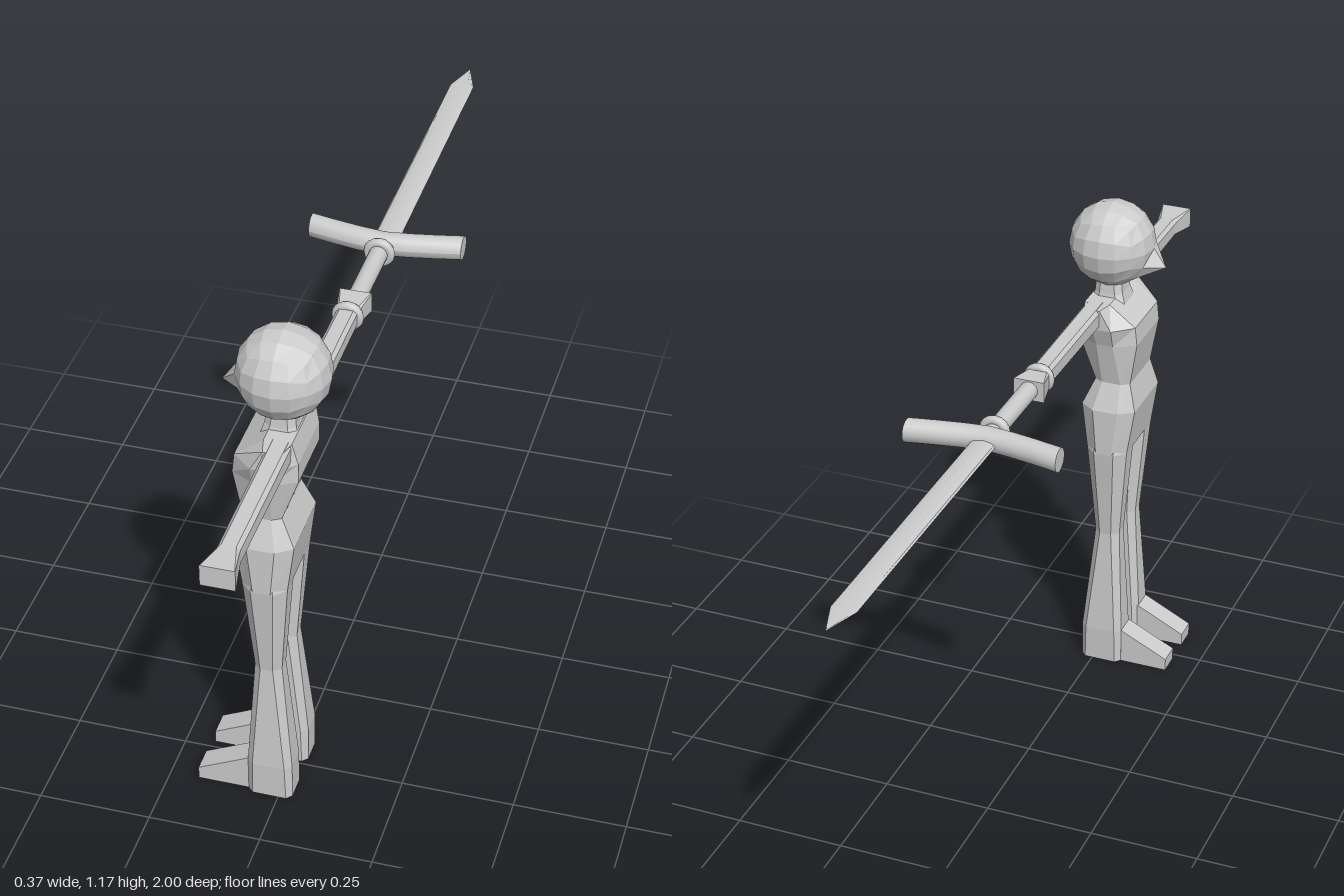
import * as THREE from 'three';

const grey = new THREE.MeshStandardMaterial({ color: 0xcccccc, flatShading: true });
grey.name = 'light grey';
// same flat colour, with smooth normals for the turned sword parts
const smoothGrey = new THREE.MeshStandardMaterial({ color: 0xcccccc });
smoothGrey.name = 'light grey smooth';

const MID = 0.515; // centre of the body along z
const AX = 0.0125, AY = 0.93; // line of the arms and the sword

// Rectangle with cut corners, counter-clockwise in (u, v)
function ring(t, u0, u1, v0, v1, cu, cv) {
  return { t, p: [
    [u0 + cu, v0], [u1 - cu, v0], [u1, v0 + cv], [u1, v1 - cv],
    [u1 - cu, v1], [u0 + cu, v1], [u0, v1 - cv], [u0, v0 + cv]] };
}

// Capped skin over rings stacked along y (u = z, v = x) or z (u = x, v = y)
function loft(rings, axis) {
  const pos = [];
  const put = (r, i) => {
    const [u, v] = r.p[i % r.p.length];
    pos.push(...(axis === 'y' ? [v, r.t, u] : [u, v, r.t]));
  };
  const n = rings[0].p.length;
  for (let k = 0; k + 1 < rings.length; k++) {
    const a = rings[k], b = rings[k + 1];
    for (let i = 0; i < n; i++) {
      put(a, i); put(a, i + 1); put(b, i + 1);
      put(a, i); put(b, i + 1); put(b, i);
    }
  }
  const first = rings[0], last = rings[rings.length - 1];
  for (let i = 1; i + 1 < n; i++) {
    put(first, 0); put(first, i + 1); put(first, i);
    put(last, 0); put(last, i); put(last, i + 1);
  }
  const g = new THREE.BufferGeometry();
  g.setAttribute('position', new THREE.Float32BufferAttribute(pos, 3));
  g.computeVertexNormals();
  return g;
}

function add(parent, name, geometry, material = grey) {
  const m = new THREE.Mesh(geometry, material);
  m.name = name;
  parent.add(m);
  return m;
}

// Ball made from a subdivided cube, with one vertex pulled out as the chin
function headGeometry() {
  const g = new THREE.BoxGeometry(2, 2, 2, 4, 4, 4);
  const p = g.attributes.position, v = new THREE.Vector3();
  for (let i = 0; i < p.count; i++) {
    v.fromBufferAttribute(p, i);
    const chin = v.x < -0.99 && Math.abs(v.z) < 0.1 && Math.abs(v.y + 0.5) < 0.1;
    v.set(Math.tan(v.x * Math.PI / 4), Math.tan(v.y * Math.PI / 4), Math.tan(v.z * Math.PI / 4));
    v.normalize().multiplyScalar(0.1);
    if (chin) v.set(-0.13, -0.043, 0);
    p.setXYZ(i, v.x, v.y, v.z);
  }
  g.computeVertexNormals();
  return g;
}

function buildBody() {
  const body = new THREE.Group();
  body.name = 'body';

  add(body, 'head', headGeometry()).position.set(0, 1.075, MID);

  // neck
  const neckRing = (y, x0, x1, h) => ring(y, MID - h, MID + h, x0, x1, 0.012, 0.015);
  add(body, 'neck', loft([neckRing(0.93, -0.045, 0.04, 0.045), neckRing(0.96, -0.035, 0.032, 0.038),
    neckRing(0.995, -0.03, 0.03, 0.034)], 'y'));

  // torso: y, back and front in x, half width, corner cuts in z and x
  const torso = [
    [0.578, -0.073, 0.025, 0.108, 0.025, 0.03],
    [0.69, -0.09, 0.04, 0.106, 0.025, 0.035],
    [0.755, -0.073, 0.012, 0.081, 0.012, 0.02],
    [0.86, -0.09, 0.05, 0.1, 0.025, 0.05],
    [0.905, -0.085, 0.05, 0.115, 0.04, 0.045],
    [0.953, -0.022, 0.037, 0.115, 0.04, 0.01],
  ].map(([y, x0, x1, h, cz, cx]) => ring(y, MID - h, MID + h, x0, x1, cz, cx));
  add(body, 'torso', loft(torso, 'y'));

  for (const s of [1, -1]) {
    const side = s > 0 ? 'left' : 'right';

    // leg: y, x range, inner and outer distance from the middle, corner cut
    const leg = [
      [0, -0.07, 0.03, 0.022, 0.1, 0.012],
      [0.087, -0.07, 0.03, 0.022, 0.102, 0.014],
      [0.35, -0.054, 0.006, 0.025, 0.086, 0.016],
      [0.578, -0.073, 0.025, 0.015, 0.108, 0.025],
      [0.6, -0.073, 0.025, 0.005, 0.1, 0.025],
    ].map(([y, x0, x1, a, b, c]) => ring(y, MID + Math.min(s * a, s * b),
      MID + Math.max(s * a, s * b), x0, x1, c, c));
    add(body, side + 'Leg', loft(leg, 'y'));

    // foot wedge
    const shape = new THREE.Shape([[-0.185, 0], [-0.04, 0], [-0.04, 0.087], [-0.07, 0.087], [-0.185, 0.03]]
      .map(([x, y]) => new THREE.Vector2(x, y)));
    const foot = new THREE.ExtrudeGeometry(shape, { depth: 0.055, bevelEnabled: false });
    add(body, side + 'Foot', foot).position.z = MID + s * 0.06 - 0.0275;

    // arm with a flared hand: distance along z, half sizes, corner cut
    const arm = [
      [0.07, 0.024, 0.024, 0.008],
      [0.41, 0.023, 0.022, 0.008],
      [0.425, 0.025, 0.022, 0.006],
      [0.485, 0.036, 0.024, 0.001],
    ].map(([d, w, h, c]) => ring(MID + s * d, AX - w, AX + w, AY - h, AY + h, c, c))
      .sort((a, b) => a.t - b.t);
    add(body, side + 'Arm', loft(arm, 'z'));
  }
  return body;
}

function buildSword() {
  const sword = new THREE.Group();
  sword.name = 'sword';
  sword.position.set(AX, AY, 0);

  // handle and its two collars
  const handle = new THREE.CylinderGeometry(0.021, 0.021, 0.29, 16).rotateX(Math.PI / 2);
  add(sword, 'handle', handle, smoothGrey).position.z = -0.05;
  for (const z of [0.093, -0.163]) {
    add(sword, 'collar', new THREE.TorusGeometry(0.025, 0.011, 8, 16), smoothGrey).position.z = z;
  }

  // crossguard, bent toward the blade
  const guard = new THREE.CylinderGeometry(0.027, 0.027, 0.348, 16, 6).rotateZ(Math.PI / 2);
  const p = guard.attributes.position;
  for (let i = 0; i < p.count; i++) {
    p.setZ(i, p.getZ(i) - 0.03 * Math.pow(Math.abs(p.getX(i)) / 0.174, 1.3));
  }
  guard.computeVertexNormals();
  add(sword, 'crossguard', guard, smoothGrey).position.z = -0.2;

  // blade with a flat oval section, thinning to the tip
  const blade = [[-1, 0.001, 0.001], [-0.92, 0.028, 0.003], [-0.8, 0.028, 0.005], [-0.2, 0.029, 0.008]]
    .map(([t, w, h]) => ({ t, p: Array.from({ length: 12 }, (_, i) => {
      const a = i / 12 * Math.PI * 2;
      return [w * Math.cos(a), h * Math.sin(a)];
    }) }));
  add(sword, 'blade', loft(blade, 'z'));
  return sword;
}

export function createModel() {
  const model = new THREE.Group();
  model.name = 'swordsman';
  model.add(buildBody(), buildSword());
  return model;
}
